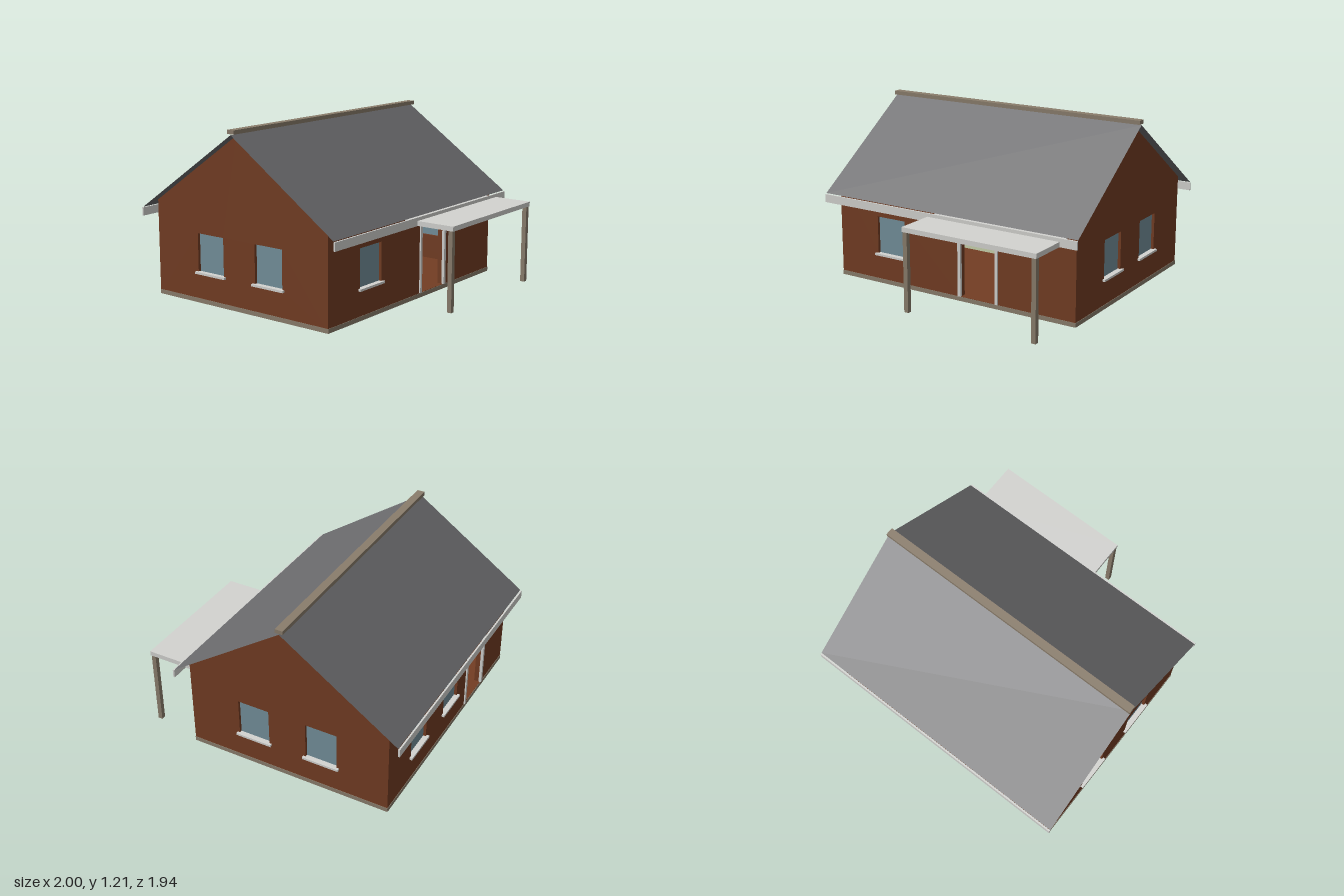
import * as THREE from 'three';

const mat = (name, color, side = THREE.FrontSide) => {
  const m = new THREE.MeshStandardMaterial({ color, side });
  m.name = name;
  return m;
};

export function createModel() {
  const brick = mat('brick brown', 0x733d23);
  const slate = mat('slate grey', 0x6a6a6c, THREE.DoubleSide);
  const white = mat('trim white', 0xd3d3d0);
  const stone = mat('stone beige', 0x8a7d6c);
  const glass = mat('window blue', 0x74909b);
  const green = mat('interior green', 0xcad4ae);

  const house = new THREE.Group();
  house.name = 'house';

  // Box given by its lower and upper limits on each axis
  const box = (parent, name, material, [x0, x1], [y0, y1], [z0, z1]) => {
    const m = new THREE.Mesh(new THREE.BoxGeometry(x1 - x0, y1 - y0, z1 - z0), material);
    m.position.set((x0 + x1) / 2, (y0 + y1) / 2, (z0 + z1) / 2);
    m.name = name;
    parent.add(m);
  };

  const T = 0.045, EAVE = 0.66, PEAK = 1.165, MID = -0.137;
  const HX = 0.943, HZ = 0.736, WIN = [0.21, 0.477], DOOR = [0.032, 0.522];

  const hole = (u, half, [y0, y1]) => new THREE.Path([
    new THREE.Vector2(u - half, y0), new THREE.Vector2(u - half, y1),
    new THREE.Vector2(u + half, y1), new THREE.Vector2(u + half, y0)]);

  // A wall in its own frame: outer face at local z = 0, looking along +z
  const wall = (name, half, peak, windows, doors, x, z, turn) => {
    const g = new THREE.Group();
    g.name = name;
    const outline = [[-half, 0], [half, 0], [half, EAVE]];
    if (peak) outline.push([0, PEAK]);
    outline.push([-half, EAVE]);
    const shape = new THREE.Shape(outline.map(p => new THREE.Vector2(...p)));
    windows.forEach(u => shape.holes.push(hole(u, 0.115, WIN)));
    doors.forEach(u => shape.holes.push(hole(u, 0.137, DOOR)));
    const geo = new THREE.ExtrudeGeometry(shape, { depth: T, bevelEnabled: false });
    geo.translate(0, 0, -T);
    const panel = new THREE.Mesh(geo, brick);
    panel.name = name + 'Brickwork';
    g.add(panel);

    for (const u of windows) {
      box(g, 'windowPane', glass, [u - 0.115, u + 0.115], WIN, [-0.027, -0.02]);
      box(g, 'windowSill', white, [u - 0.132, u + 0.132], [0.2, 0.215], [-0.019, 0.019]);
    }
    // Door frame: two jambs and a head around an open doorway
    for (const u of doors) {
      for (const s of [-1, 1]) {
        const a = u + s * 0.135, b = u + s * 0.157;
        box(g, 'doorJamb', white, [Math.min(a, b), Math.max(a, b)], [0.032, 0.537], [-0.01, 0.009]);
      }
      box(g, 'doorHead', white, [u - 0.135, u + 0.135], [0.52, 0.537], [-0.01, 0.009]);
    }
    // Plinth strip along the foot
    box(g, 'plinth', stone, [-half, half], [0, 0.03], [-0.003, 0.003]);
    g.position.set(x, 0, z);
    g.rotation.y = turn;
    house.add(g);
  };

  wall('frontWall', HX - T, false, [-0.505], [0.207], 0, MID + HZ, 0);
  wall('backWall', HX - T, false, [-0.5, 0], [0.42], 0, MID - HZ, Math.PI);
  wall('leftGable', HZ, true, [-0.252, 0.252], [], HX, MID, Math.PI / 2);
  wall('rightGable', HZ, true, [-0.252, 0.252], [], -HX, MID, -Math.PI / 2);

  // Plinth ends closing the corners of the long sides
  for (const sx of [-1, 1]) for (const sz of [-1, 1]) {
    const x = sx * (HX - T / 2), z = MID + sz * HZ;
    box(house, 'plinthCorner', stone, [x - T / 2, x + T / 2], [0, 0.03], [z - 0.003, z + 0.003]);
  }

  // Interior: slab, floor, ceiling and a partition
  const inX = [T - HX, HX - T], inZ = [MID - HZ + T, MID + HZ - T];
  box(house, 'groundSlab', stone, inX, [0.004, 0.028], inZ);
  box(house, 'floor', brick, inX, [0.028, 0.032], inZ);
  box(house, 'ceiling', white, inX, [0.645, 0.655], inZ);
  box(house, 'partition', green, inX, [0.032, 0.645], [-0.31, -0.28]);

  // Roof: two thin sheets meeting at the ridge, with a fascia at each eave
  const RIDGE = 1.172, RUN = 0.823, DROP = 0.565;
  for (const s of [-1, 1]) {
    const sheet = new THREE.PlaneGeometry(2, Math.hypot(RUN, DROP));
    sheet.rotateX(-Math.PI / 2);
    const slope = new THREE.Mesh(sheet, slate);
    slope.name = s > 0 ? 'frontRoofSlope' : 'backRoofSlope';
    slope.rotation.x = s * Math.atan2(DROP, RUN);
    slope.position.set(0, RIDGE - DROP / 2, MID + s * RUN / 2);
    house.add(slope);
    const z = MID + s * (RUN + 0.006);
    box(house, s > 0 ? 'frontFascia' : 'backFascia', white, [-1, 1], [0.545, 0.602], [z - 0.006, z + 0.006]);
  }
  box(house, 'ridgeCap', stone, [-1, 1], [1.178, 1.205], [MID - 0.028, MID + 0.028]);

  // Porch canopy on two posts
  box(house, 'porchCanopy', white, [-0.125, 0.877], [0.546, 0.579], [MID + HZ, 0.973]);
  for (const x of [-0.107, 0.857])
    box(house, 'porchPost', stone, [x - 0.016, x + 0.016], [0, 0.546], [0.935, 0.967]);

  return house;
}
